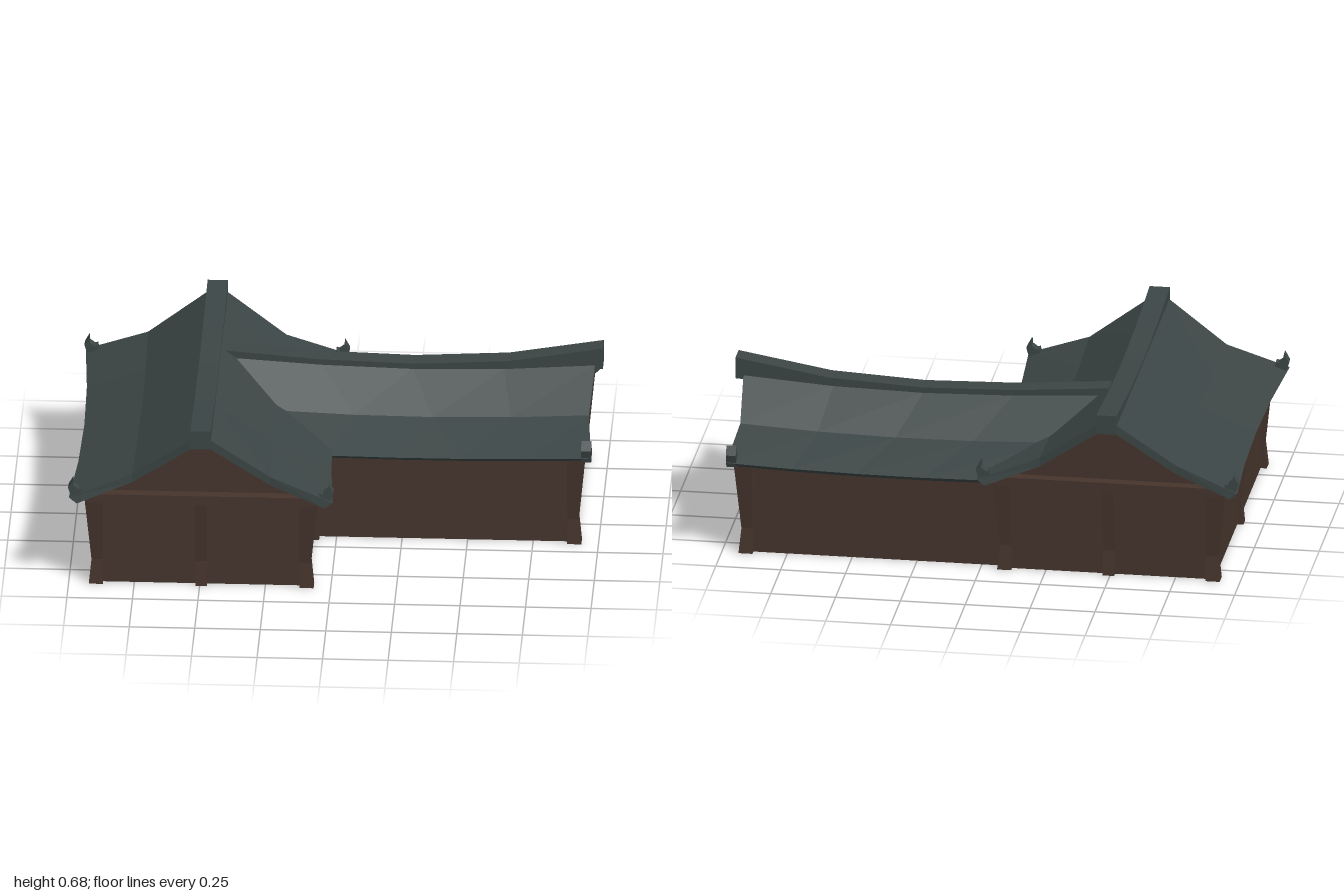
import * as THREE from 'three';

const tile = new THREE.MeshStandardMaterial({ color: 0x3c4545 });
tile.name = 'dark roof tile';
const wood = new THREE.MeshStandardMaterial({ color: 0x45342c });
wood.name = 'brown timber';

function add(parent, name, geometry, material) {
  const flat = geometry.index ? geometry.toNonIndexed() : geometry;
  flat.computeVertexNormals();
  const mesh = new THREE.Mesh(flat, material);
  mesh.name = name;
  parent.add(mesh);
  return mesh;
}

function block(parent, name, x0, x1, y0, y1, z0, z1) {
  const g = new THREE.BoxGeometry(x1 - x0, y1 - y0, z1 - z0);
  g.translate((x0 + x1) / 2, (y0 + y1) / 2, (z0 + z1) / 2);
  return add(parent, name, g, wood);
}

function extrude(points, z0, depth) {
  const shape = new THREE.Shape(points.map(([x, y]) => new THREE.Vector2(x, y)));
  const g = new THREE.ExtrudeGeometry(shape, { depth, bevelEnabled: false });
  return g.translate(0, 0, z0);
}

// Sagging two-slope roof slab; rows run ridge, mid slope, eave.
// Each row gives [middle, end] values, its thickness and the inset of its underside.
function roofGeometry({ rows, centre, span }) {
  const segs = 4, cols = 6, pos = [], idx = [], n = (segs + 1) * cols;
  for (const under of [0, 1]) {
    for (let i = 0; i <= segs; i++) {
      for (let j = 0; j < cols; j++) {
        const r = rows[Math.abs(j - 2.5) - 0.5];
        const z = THREE.MathUtils.lerp(r.z[0], r.z[1], i / segs);
        const q = Math.min(1, ((z - centre) / span) ** 2);
        const x = THREE.MathUtils.lerp(r.x[0], r.x[1], q) - under * r.inset;
        const y = THREE.MathUtils.lerp(r.y[0], r.y[1], q) - under * r.thick;
        pos.push(Math.sign(j - 2.5) * x, y, z);
      }
    }
  }
  const at = (i, j) => i * cols + j;
  const quad = (a, b, c, d) => idx.push(a, b, c, a, c, d);
  const edge = (a, b) => quad(a, a + n, b + n, b);
  for (let i = 0; i < segs; i++) {
    for (let j = 0; j < cols - 1; j++) {
      const a = at(i, j), b = at(i + 1, j), c = at(i + 1, j + 1), d = at(i, j + 1);
      quad(a, b, c, d);
      quad(a + n, d + n, c + n, b + n);
    }
    edge(at(i, 0), at(i + 1, 0));
    edge(at(i + 1, cols - 1), at(i, cols - 1));
  }
  for (let j = 0; j < cols - 1; j++) {
    edge(at(segs, j), at(segs, j + 1));
    edge(at(0, j + 1), at(0, j));
  }
  const g = new THREE.BufferGeometry();
  g.setAttribute('position', new THREE.Float32BufferAttribute(pos, 3));
  g.setIndex(idx);
  return g;
}

// Ridge beam whose top and bottom follow functions of z.
function ridge(parent, z0, z1, top, bottom) {
  const g = new THREE.BoxGeometry(0.078, 1, z1 - z0, 1, 1, 4);
  g.translate(0, 0, (z0 + z1) / 2);
  const p = g.attributes.position;
  for (let i = 0; i < p.count; i++) {
    p.setY(i, (p.getY(i) > 0 ? top : bottom)(p.getZ(i)));
  }
  add(parent, 'ridgeBeam', g, tile);
}

// Post that flares outward at its foot and head on the sides sx, sz.
function post(parent, x, z, sx, sz) {
  const g = new THREE.BoxGeometry(0.044, 2, 0.044, 1, 2, 1);
  const p = g.attributes.position;
  for (let i = 0; i < p.count; i++) {
    const level = Math.round(p.getY(i)) + 1;
    const flare = [0.01, 0, 0.025][level];
    const vx = p.getX(i), vz = p.getZ(i);
    p.setXYZ(i,
      x + vx + (vx * sx > 0 ? sx * flare : 0),
      [0, 0.1, 0.36][level],
      z + vz + (vz * sz > 0 ? sz * flare : 0));
  }
  add(parent, 'post', g, wood);
}

// Upturned hook on a roof corner.
const HOOK = [[-0.052, 0], [-0.01, -0.012], [0.005, 0.04], [-0.014, 0.075],
  [-0.015, 0.05], [-0.035, 0.035], [-0.046, 0.038]];
function hook(parent, x, y, z, side) {
  const pts = HOOK.map(([u, v]) => [side * (x + u), y + v]);
  add(parent, 'cornerHook', extrude(pts, z - 0.019, 0.038), tile);
}

// Thin end wall that rises to just under the roof.
function gable(parent, w, [eave, [mx, my], apex], z) {
  const pts = [[-w, 0], [w, 0], [w, eave], [mx, my], [0, apex], [-mx, my], [-w, eave]];
  add(parent, 'gableWall', extrude(pts, z - 0.003, 0.006), wood);
}

function mainWing() {
  const g = new THREE.Group();
  g.name = 'mainWing';
  g.position.x = -0.494;
  add(g, 'mainRoof', roofGeometry({
    rows: [
      { x: [0.036, 0.036], y: [0.632, 0.635], z: [-0.665, 0.665], thick: 0.03, inset: 0.012 },
      { x: [0.255, 0.265], y: [0.467, 0.472], z: [-0.637, 0.637], thick: 0.032, inset: 0.005 },
      { x: [0.476, 0.503], y: [0.375, 0.382], z: [-0.665, 0.665], thick: 0.025, inset: 0.03 },
    ],
    centre: 0, span: 0.66,
  }), tile);
  ridge(g, -0.677, 0.677, (z) => 0.64 + 0.037 * (z / 0.677) ** 2, () => 0.601);

  for (const sz of [-1, 1]) {
    gable(g, 0.402, [0.385, [0.262, 0.438], 0.606], sz * 0.595);
    block(g, 'gableBeam', -0.43, 0.43, 0.348, 0.386, sz * 0.618 - 0.022, sz * 0.618 + 0.022);
    for (const sx of [-1, 1]) {
      post(g, sx * 0.397, sz * 0.59, sx, sz);
      hook(g, 0.501, 0.378, sz * 0.638, sx);
    }
    post(g, 0, sz * 0.59, 0, sz);
  }
  // Long walls: the right one stops at the side wing
  block(g, 'leftWall', -0.405, -0.399, 0, 0.37, -0.595, 0.595);
  block(g, 'rightWall', 0.399, 0.405, 0, 0.37, 0.15, 0.595);
  post(g, -0.397, 0, -1, 0);
  post(g, 0.397, 0.168, 1, 0);
  return g;
}

function sideWing() {
  const g = new THREE.Group();
  g.name = 'sideWing';
  g.position.z = -0.211;
  g.rotation.y = Math.PI / 2; // its length now runs along x
  add(g, 'sideRoof', roofGeometry({
    rows: [
      { x: [0.036, 0.036], y: [0.56, 0.591], z: [-0.42, 0.97], thick: 0.025, inset: 0.01 },
      { x: [0.205, 0.215], y: [0.435, 0.462], z: [-0.24, 0.955], thick: 0.028, inset: 0.005 },
      { x: [0.416, 0.447], y: [0.36, 0.388], z: [-0.03, 0.975], thick: 0.022, inset: 0.03 },
    ],
    centre: 0.3, span: 0.67,
  }), tile);
  const top = (z) => 0.58 + (z > 0.3 ? 0.08 : 0.035) * ((z - 0.3) / 0.7) ** 2;
  const bottom = (z) => top(z) - 0.035 - 0.05 * (Math.max(0, z - 0.3) / 0.7) ** 2;
  ridge(g, -0.44, 1, top, bottom);

  gable(g, 0.367, [0.375, [0.212, 0.433], 0.572], 0.91);
  for (const s of [-1, 1]) {
    const x = s * 0.364;
    block(g, 'sideWall', x - 0.003, x + 0.003, 0, 0.358, -0.09, 0.91);
    post(g, s * 0.36, 0.903, s, 1);
    hook(g, 0.445, 0.38, 0.956, s);
  }
  return g;
}

export function createModel() {
  const house = new THREE.Group();
  house.name = 'house';
  house.add(mainWing(), sideWing());
  return house;
}
